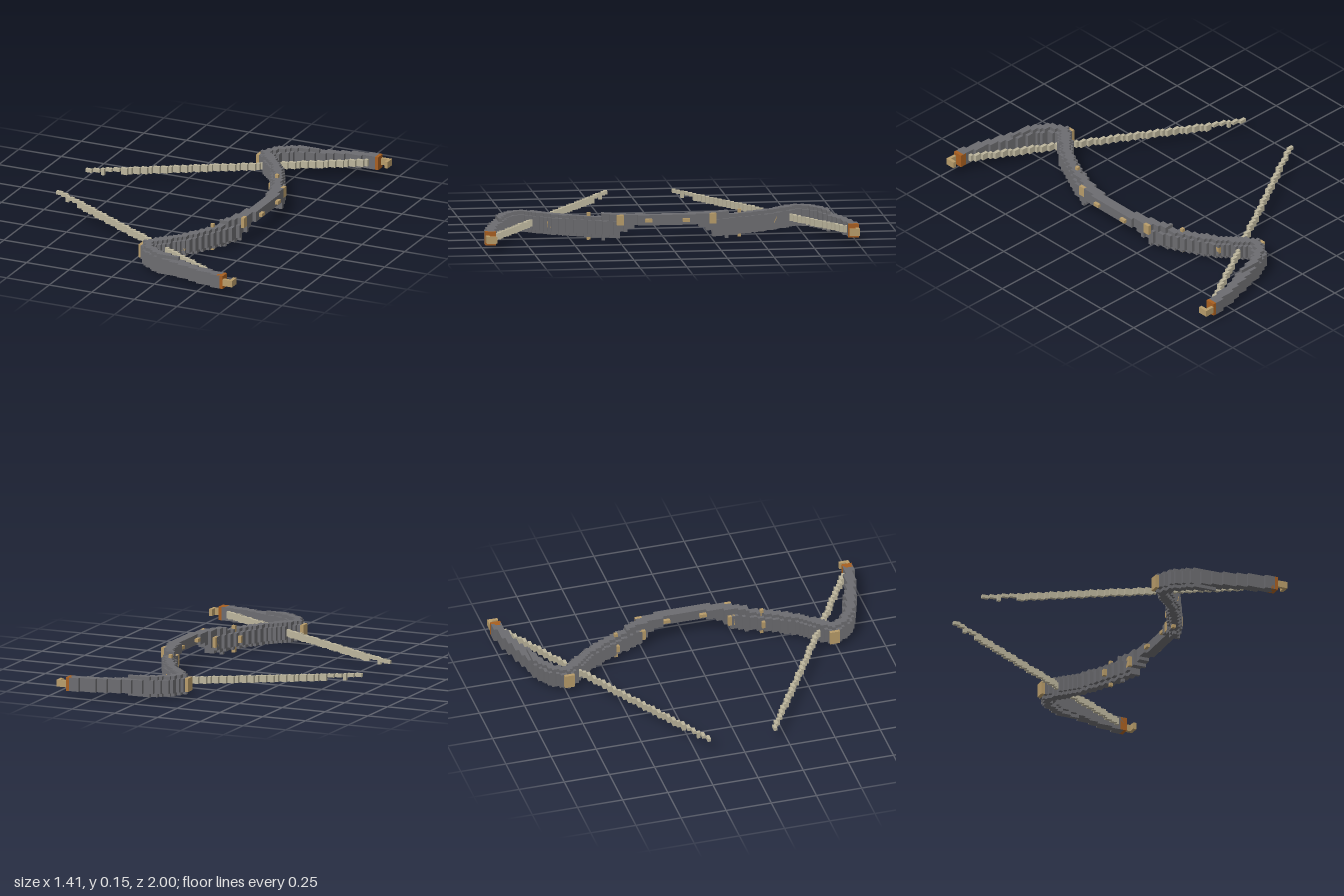
import * as THREE from 'three';
import { mergeGeometries } from 'three/addons/utils/BufferGeometryUtils.js';

const V = 2 / 109; // edge of one cube of the grid

// Block of grid cells: i = x cells, j = y cells (from the ground), k = z cells, all inclusive
function block(i0, i1, j0, j1, k0, k1) {
  const g = new THREE.BoxGeometry((i1 - i0 + 1) * V, (j1 - j0 + 1) * V, (k1 - k0 + 1) * V);
  return g.translate((i0 + i1) / 2 * V, (j0 + j1 + 1) / 2 * V, (k0 + k1) / 2 * V);
}

// Centre line of the bow for one half, as [x, z]
const PATH = [[0.422, 0], [0.42, 0.1], [0.402, 0.2], [0.366, 0.3], [0.32, 0.4], [0.27, 0.5],
  [0.212, 0.6], [0.128, 0.69], [0.092, 0.735], [0.128, 0.805], [0.22, 0.865], [0.34, 0.905],
  [0.48, 0.945], [0.61, 0.972]];

// Distance from a point to the centre line (mirrored near the middle by |z|)
function distance(x, z) {
  let best = 9;
  for (let n = 0; n + 1 < PATH.length; n++) {
    const [ax, az] = PATH[n], [bx, bz] = PATH[n + 1];
    const dx = bx - ax, dz = bz - az;
    const t = Math.min(1, Math.max(0, ((x - ax) * dx + (z - az) * dz) / (dx * dx + dz * dz)));
    best = Math.min(best, Math.hypot(x - ax - t * dx, z - az - t * dz));
  }
  return best;
}

// First and last x cell of row k closer to the centre line than r
function run(k, r) {
  const cells = [];
  for (let i = 0; i < 35; i++) if (distance(i * V, k * V) < r) cells.push(i);
  return cells.length ? [cells[0], cells[cells.length - 1]] : null;
}

export function createModel() {
  const colour = (name, color) => {
    const m = new THREE.MeshStandardMaterial({ color });
    m.name = name;
    return m;
  };
  const grey = colour('dark grey', 0x6c6c70);
  const tan = colour('tan', 0xb89c6a);
  const cord = colour('pale cord', 0xbcb59c);
  const copper = colour('copper', 0xa85f20);
  const model = new THREE.Group();
  model.name = 'bow';

  const add = (parent, name, material, blocks) => {
    const mesh = new THREE.Mesh(mergeGeometries(blocks), material);
    mesh.name = name;
    parent.add(mesh);
  };

  // Raised grip in the middle, arched underneath
  const grip = [];
  for (let k = -13; k <= 13; k++) {
    const a = Math.abs(k);
    const low = a < 10 ? 5 : a < 12 ? 4 : 3;
    const r = run(a, 0.03);
    grip.push(block(r[0], r[1], low, 7, k, k));
  }
  add(model, 'grip', grey, grip);

  for (const s of [-1, 1]) {
    const side = new THREE.Group();
    side.name = s > 0 ? 'frontHalf' : 'backHalf';
    model.add(side);
    const at = (i0, i1, j0, j1, k0, k1 = k0) =>
      block(i0, i1, j0, j1, Math.min(s * k0, s * k1), Math.max(s * k0, s * k1));

    // Limb: a wide low layer with a taller core, thinner toward the tip
    const limb = [];
    for (let k = 14; k <= 54; k++) {
      const tip = k > 48;
      const edge = run(k, tip ? 0.024 : 0.033);
      const core = run(k, 0.021);
      if (edge) limb.push(at(edge[0], edge[1], 2, 5, k));
      if (core && !tip) limb.push(at(core[0], core[1], 1, k < 19 ? 7 : 6, k));
    }
    limb.push(at(19, 19, 0, 7, 18));
    add(side, 'limb', grey, limb);

    // Tan bindings and studs along the limb
    add(side, 'bindings', tan, [
      at(21, 21, 6, 6, 5, 6), at(25, 25, 6, 6, 5, 6),
      at(19, 19, 3, 5, 13, 14), at(23, 23, 5, 7, 13, 14),
      at(17, 17, 0, 7, 22), at(15, 15, 3, 4, 22),
      at(13, 13, 3, 4, 33), at(3, 3, 2, 5, 39, 41),
    ]);

    // Copper cap and hooked nock at the end of the limb
    add(side, 'tipCap', copper, [at(34, 35, 2, 5, 52, 54)]);
    add(side, 'nock', tan, [at(36, 38, 3, 4, 54), at(38, 38, 3, 4, 52, 53)]);

    // Drawn string, stepping diagonally inward and back
    const string = [];
    const cell = k => Math.round((-0.706 + (k * V - 0.174) / 0.592) / V);
    for (let k = 10; k <= 51; k++) {
      const thin = k < 16 && k % 3 !== 0;
      string.push(at(cell(k), cell(k + 1) - 1, thin ? 4 : 3, 4, k));
    }
    add(side, 'string', cord, string);
  }
  return model;
}
